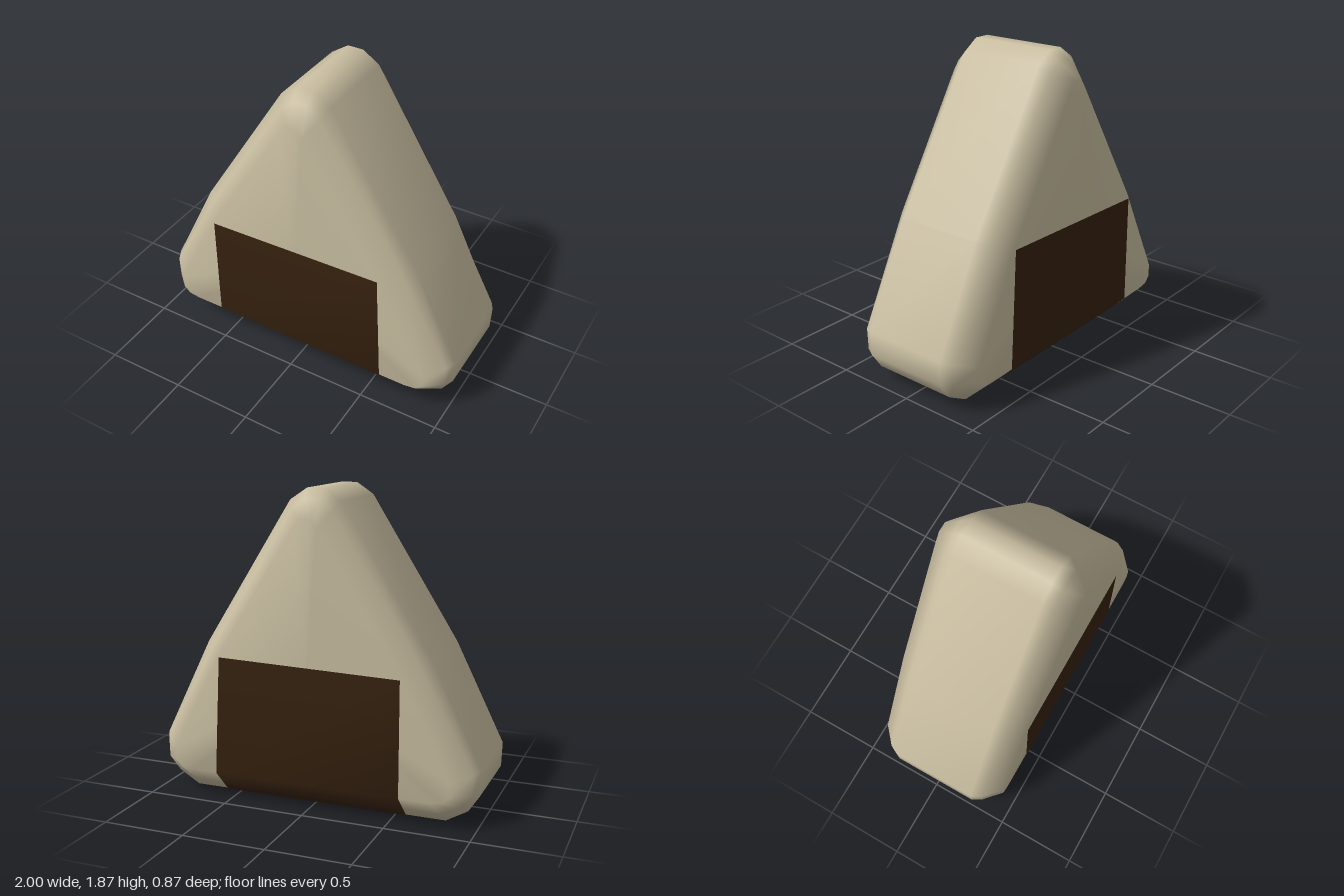
import * as THREE from 'three';

const rice = new THREE.MeshStandardMaterial({ color: 0xc9bea1 });
rice.name = 'rice';
const seaweed = new THREE.MeshStandardMaterial({ color: 0x382310, side: THREE.DoubleSide });
seaweed.name = 'seaweed';

// right half of the outlines, from the tip down to the base: [x, y]
const OUTER = [[0.05, 1.87], [0.155, 1.8], [0.7, 0.935], [1, 0.33], [0.995, 0.18], [0.93, 0.08], [0.8, 0.004]];
const INNER = [[0.03, 1.71], [0.07, 1.66], [0.555, 0.885], [0.86, 0.29], [0.86, 0.21], [0.82, 0.17], [0.75, 0.16]];
const ROUND = [3, 4]; // points where the bevel bulges at the lower corners

// full outline at a bevel position t (0 = widest, 1 = flat face), clockwise from the front
function outline(t) {
  const half = OUTER.map(([x, y], i) => {
    const k = t > 0 && t < 1 && ROUND.includes(i) ? t * 0.6 : t;
    return [x + (INNER[i][0] - x) * k, y + (INNER[i][1] - y) * k];
  });
  return [...half, ...half.map(([x, y]) => [-x, y]).reverse()];
}

function meshOf(name, positions, index, material) {
  const g = new THREE.BufferGeometry();
  g.setAttribute('position', new THREE.Float32BufferAttribute(positions, 3));
  g.setIndex(index);
  g.computeVertexNormals();
  const mesh = new THREE.Mesh(g, material);
  mesh.name = name;
  return mesh;
}

// rounded triangular body: bevelled rings from front to back, closed with two caps
function makeBody() {
  const rings = [[0.43, 1], [0.33, 0.375], [0.27, 0], [-0.27, 0], [-0.33, 0.375], [-0.43, 1]];
  const pos = [], idx = [];
  const n = OUTER.length * 2;
  for (const [z, t] of rings) for (const [x, y] of outline(t)) pos.push(x, y, z);
  for (let r = 0; r < rings.length - 1; r++) {
    for (let i = 0; i < n; i++) {
      const a = r * n + i, b = r * n + (i + 1) % n, c = a + n, d = b + n;
      idx.push(a, b, c, b, d, c);
    }
  }
  const front = pos.length / 3, back = front + 1, last = (rings.length - 1) * n;
  pos.push(0, 0.75, 0.43, 0, 0.75, -0.43);
  for (let i = 0; i < n; i++) {
    const j = (i + 1) % n;
    idx.push(front, j, i, back, last + i, last + j);
  }
  return meshOf('riceBody', pos, idx, rice);
}

// slightly crooked wrap running down the front, under the base and up the back
function makeWrap() {
  const path = [[1, 0.434], [0.16, 0.434], [0, 0.272], [0, -0.272], [0.16, -0.434], [1, -0.434]];
  const pos = [], idx = [];
  path.forEach(([y, z], i) => {
    const top = y === 1;
    pos.push(-0.565, top ? 0.85 : y, z);
    pos.push(top ? 0.55 : 0.595 - y * 0.05, top ? 0.88 : y, z);
    if (i) {
      const a = i * 2 - 2;
      idx.push(a, a + 2, a + 1, a + 1, a + 2, a + 3);
    }
  });
  return meshOf('seaweedWrap', pos, idx, seaweed);
}

export function createModel() {
  const model = new THREE.Group();
  model.name = 'riceBall';
  model.add(makeBody(), makeWrap());
  return model;
}
